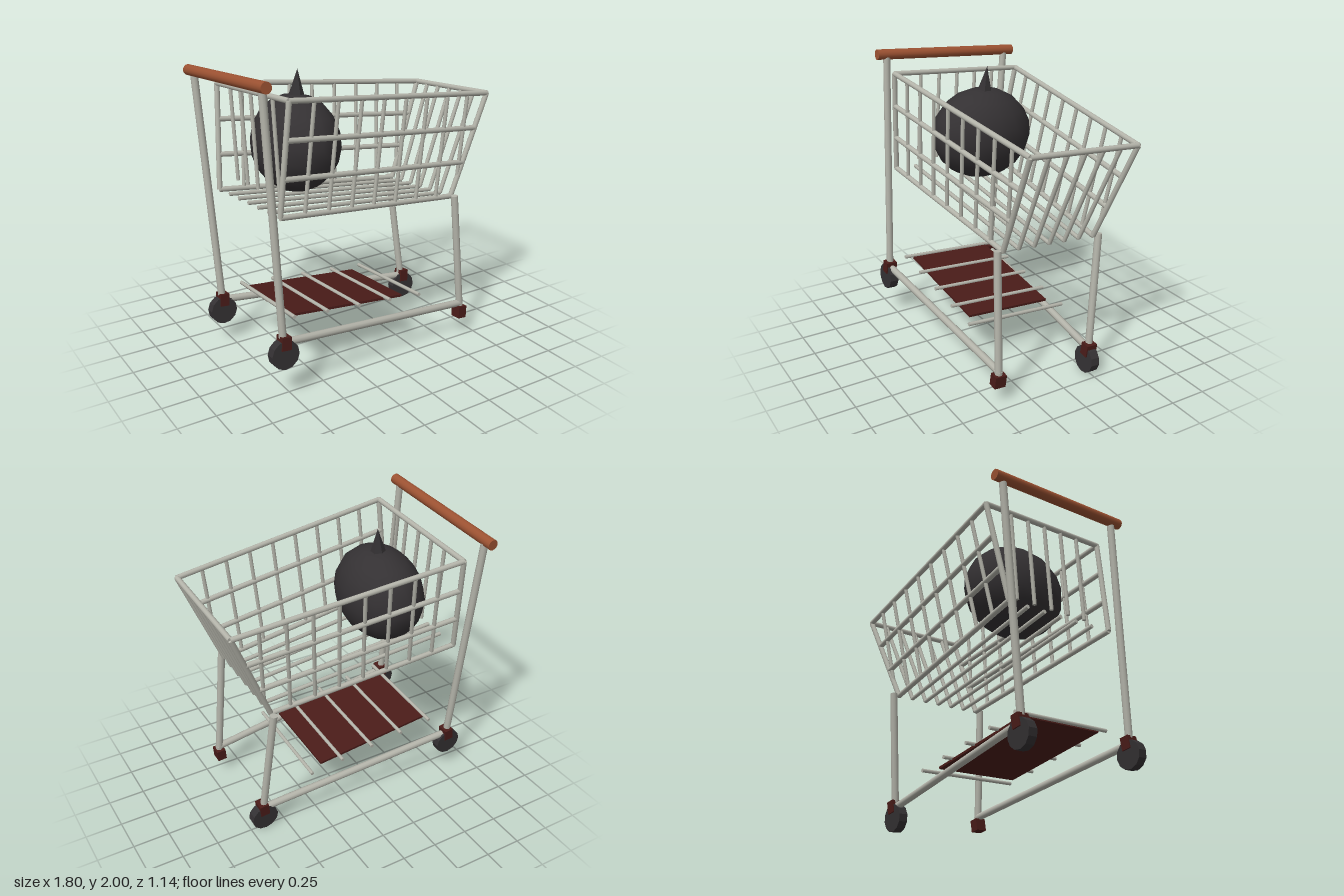
import * as THREE from 'three';

const mat = (color, flatShading = false) => new THREE.MeshStandardMaterial({ color, flatShading });

export function createModel() {
  const model = new THREE.Group();
  model.name = 'shoppingCart';

  // The whole cart leans: nose down and rolled to one side
  const cart = new THREE.Group();
  cart.name = 'tiltedCart';
  cart.position.set(0, 0, 0.11);
  cart.rotation.set(-0.075, 0, -0.1, 'ZYX');
  model.add(cart);

  const metal = mat(0xb4b4aa);
  const red = mat(0x4a1c19);
  const black = mat(0x343133);
  const blackFlat = mat(0x343133, true);
  const copper = mat(0x9c5232);

  const add = (name, geometry, material, x = 0, y = 0, z = 0) => {
    const mesh = new THREE.Mesh(geometry, material);
    mesh.name = name;
    mesh.position.set(x, y, z);
    cart.add(mesh);
    return mesh;
  };

  // Straight round bar between two points
  const up = new THREE.Vector3(0, 1, 0);
  const bar = (name, a, b, r, material = metal, sides = 10) => {
    const p = new THREE.Vector3(...a), q = new THREE.Vector3(...b);
    const d = q.clone().sub(p);
    const mesh = add(name, new THREE.CylinderGeometry(r, r, d.length(), sides), material);
    mesh.position.copy(p).add(q).multiplyScalar(0.5);
    mesh.quaternion.setFromUnitVectors(up, d.normalize());
    return mesh;
  };

  // Basket outline: x of the ends, heights, and half widths
  const TOP = 1.752, LOW = 1.05, BACK = -0.866;
  const frontX = t => 0.494 + 0.212 * t;             // t: 0 floor, 1 rim
  const backHalf = t => 0.42 + 0.065 * t;
  const frontHalf = t => 0.34 + 0.045 * t;
  const height = t => LOW + (TOP - LOW) * t;
  const wall = (x, t, s) => {
    const k = (x - BACK) / (frontX(t) - BACK);
    return [x, height(t), s * THREE.MathUtils.lerp(backHalf(t), frontHalf(t), k)];
  };

  // Handle
  bar('handle', [-1.043, 1.835, -0.542], [-1.043, 1.835, 0.542], 0.036, copper, 14);

  for (const s of [-1, 1]) {
    // Frame
    bar('handlePost', [-0.83, 0.27, s * 0.435], [-1.035, 1.83, s * 0.472], 0.025);
    bar('baseRail', [-0.83, 0.265, s * 0.435], [0.635, 0.265, s * 0.352], 0.025);
    bar('frontLeg', [0.637, 0.25, s * 0.352], [0.494, 1.06, s * 0.382], 0.025);

    // Basket side: four long bars, end bars and parallel uprights
    for (const t of [0, 1 / 3, 2 / 3, 1])
      bar('sideBar', wall(BACK, t, s), wall(frontX(t), t, s), 0.018);
    bar('backCorner', wall(BACK, 0, s), wall(BACK, 1, s), 0.018);
    bar('frontCorner', wall(frontX(0), 0, s), wall(frontX(1), 1, s), 0.018);
    for (let i = 1; i <= 8; i++) {
      const x = BACK + i * (frontX(1) - BACK) / 9;
      const t = Math.max(0, (x - 0.494) / 0.212);
      bar('sideUpright', wall(x, t, s), wall(x, 1, s), 0.013, metal, 8);
    }
  }

  // Basket rim ends
  bar('backRim', wall(BACK, 1, -1), wall(BACK, 1, 1), 0.018);
  bar('frontRim', wall(frontX(1), 1, -1), wall(frontX(1), 1, 1), 0.018);

  // Floor rods, turning up into the front panel, and the hanging back gate
  for (let i = -2; i <= 2; i++) {
    const back = [BACK, LOW, i * 0.135];
    const bend = [frontX(0), LOW, i * 0.113];
    bar('floorRod', back, bend, 0.014, metal, 8);
    bar('frontRod', bend, [frontX(1), TOP, i * 0.128], 0.014, metal, 8);
    bar('gateRod', [BACK, TOP, i * 0.1425], [-0.797, 1.135, i * 0.1425], 0.013, metal, 8);
  }

  // Lower shelf: cross slats and a thin tray
  for (let i = 0; i < 5; i++) {
    const x = -0.717 + i * 0.2425;
    bar('shelfSlat', [x, 0.39, -0.372], [x, 0.39, 0.372], 0.013, metal, 8);
  }
  add('shelfTray', new THREE.BoxGeometry(0.865, 0.016, 0.615), red, -0.28, 0.378, 0);

  // Caster blocks and wheels; one front wheel is lost and its block hangs lower
  const block = new THREE.BoxGeometry(0.065, 0.085, 0.08);
  const wheel = new THREE.CylinderGeometry(0.095, 0.095, 0.062, 12).rotateX(Math.PI / 2);
  for (const [x, z, hasWheel] of [[-0.825, 0.438, true], [-0.825, -0.438, true],
    [0.64, -0.35, true], [0.64, 0.35, false]]) {
    add('casterBlock', block, red, x, hasWheel ? 0.268 : 0.205, z);
    if (hasWheel) add('wheel', wheel, blackFlat, x, 0.192, z);
  }
  bar('bareLegEnd', [0.637, 0.27, 0.352], [0.64, 0.2, 0.35], 0.025);

  // Dark egg-shaped load with a spike
  add('load', new THREE.SphereGeometry(1, 16, 10), black, -0.517, 1.412, -0.04).scale.set(0.276, 0.318, 0.362);
  add('loadSpike', new THREE.ConeGeometry(0.07, 0.23, 6), blackFlat, -0.522, 1.77, -0.032);

  return model;
}
